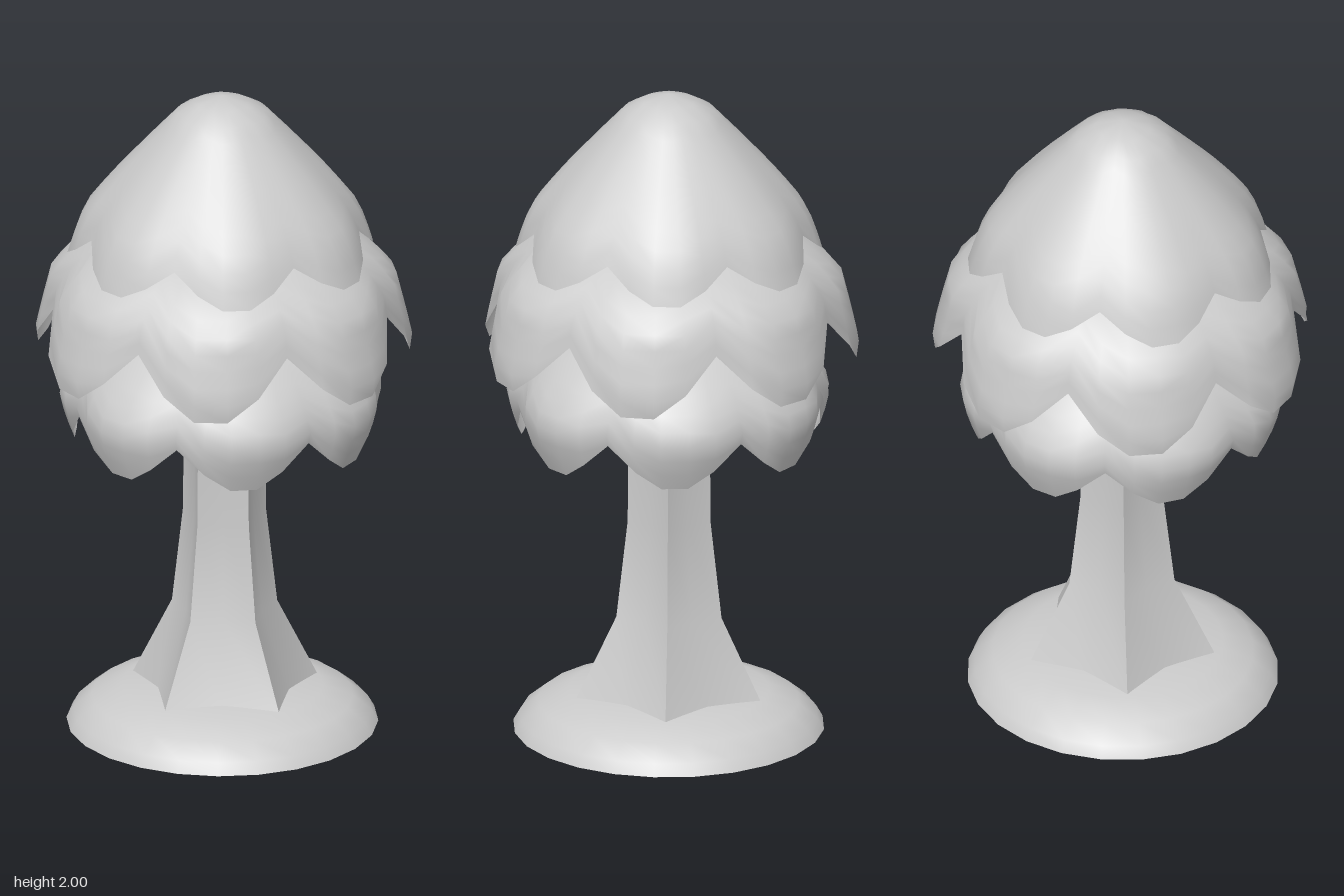
import * as THREE from 'three';
import { mergeVertices, toCreasedNormals } from 'three/addons/utils/BufferGeometryUtils.js';

const material = new THREE.MeshStandardMaterial({ color: 0xcccccc, side: THREE.DoubleSide });

// Closed loops of `cols` points, stacked from the top down and skinned.
function loft(cols, rows, point) {
  const positions = [], index = [];
  for (let i = 0; i <= rows; i++) {
    for (let j = 0; j < cols; j++) positions.push(...point(i, j));
  }
  for (let i = 0; i < rows; i++) {
    for (let j = 0; j < cols; j++) {
      const a = i * cols + j, b = i * cols + (j + 1) % cols;
      index.push(a, a + cols, b + cols, a, b + cols, b);
    }
  }
  const geometry = new THREE.BufferGeometry();
  geometry.setAttribute('position', new THREE.Float32BufferAttribute(positions, 3));
  geometry.setIndex(index);
  const merged = mergeVertices(geometry);
  merged.computeVertexNormals();
  return merged;
}

// Radius at height y on a [radius, y] profile listed from the top down.
function radiusAt(profile, y) {
  for (let k = 1; k < profile.length; k++) {
    const [r0, y0] = profile[k - 1], [r1, y1] = profile[k];
    if (y >= y1 - 1e-6) return r0 + (r1 - r0) * (y0 - y) / (y0 - y1);
  }
  return profile[profile.length - 1][0];
}

const PETALS = 7;
const STEPS = [0, 0.21, 0.4, 0.6, 0.79]; // positions across one petal
const DROPS = [0, 0.6, 1, 1, 0.6];       // how far the rim hangs there

// One leafy cap with a rim of seven scallops; `turn` is the angle of a petal's middle.
function canopyLayer({ profile, notchY, tipY, turn }) {
  const rows = 12, topY = profile[0][1];
  return loft(PETALS * 5, rows, (i, j) => {
    const petal = Math.floor(j / 5), k = j % 5;
    const angle = THREE.MathUtils.degToRad(turn) + (petal + STEPS[k] - 0.5) * 2 * Math.PI / PETALS;
    const v = (i / rows) ** 1.25;
    const rimY = notchY + (tipY - notchY) * DROPS[k];
    const y = topY + (rimY - topY) * v;
    const r = radiusAt(profile, y) * (1 - 0.05 * (1 - DROPS[k]) * v);
    return [r * Math.sin(angle), y, r * Math.cos(angle)];
  });
}

const LAYERS = [
  {
    name: 'upperCanopy', notchY: 1.585, tipY: 1.49, turn: 7,
    profile: [[0, 2], [0.07, 1.985], [0.135, 1.95], [0.21, 1.87], [0.31, 1.76], [0.4, 1.65], [0.435, 1.58], [0.462, 1.49]],
  },
  {
    name: 'middleCanopy', notchY: 1.345, tipY: 1.17, turn: -2,
    profile: [[0, 1.68], [0.2, 1.63], [0.36, 1.56], [0.46, 1.49], [0.52, 1.42], [0.55, 1.3], [0.572, 1.2], [0.56, 1.17]],
  },
  {
    name: 'lowerCanopy', notchY: 1.035, tipY: 0.905, turn: 10,
    profile: [[0, 1.38], [0.2, 1.34], [0.34, 1.26], [0.43, 1.17], [0.49, 1.07], [0.47, 0.98], [0.44, 0.905]],
  },
];

// Five-ridged trunk flaring into roots; one ridge points straight back.
function trunkGeometry() {
  const rings = [[0.14, 1.36], [0.128, 0.95], [0.13, 0.66], [0.165, 0.36], [0.295, 0.1]];
  const geometry = loft(10, rings.length - 1, (i, j) => {
    const [radius, y] = rings[i];
    const r = j % 2 ? radius * 0.72 : radius;
    const a = Math.PI + j * Math.PI / 5;
    return [0.005 + r * Math.sin(a), y, -0.005 + r * Math.cos(a)];
  });
  return toCreasedNormals(geometry, 0.5);
}

// Low domed mound with a flat underside.
function moundGeometry() {
  const outline = [[0, 0], [0.465, 0], [0.445, 0.035], [0.39, 0.08], [0.3, 0.113], [0.15, 0.125], [0, 0.128]];
  const geometry = new THREE.LatheGeometry(outline.map(([r, y]) => new THREE.Vector2(r, y)), 24);
  return toCreasedNormals(geometry, 0.8);
}

export function createModel() {
  const tree = new THREE.Group();
  tree.name = 'tree';
  const add = (name, geometry) => {
    const mesh = new THREE.Mesh(geometry, material);
    mesh.name = name;
    tree.add(mesh);
  };
  add('groundMound', moundGeometry());
  add('trunk', trunkGeometry());
  for (const layer of LAYERS) add(layer.name, canopyLayer(layer));
  return tree;
}
